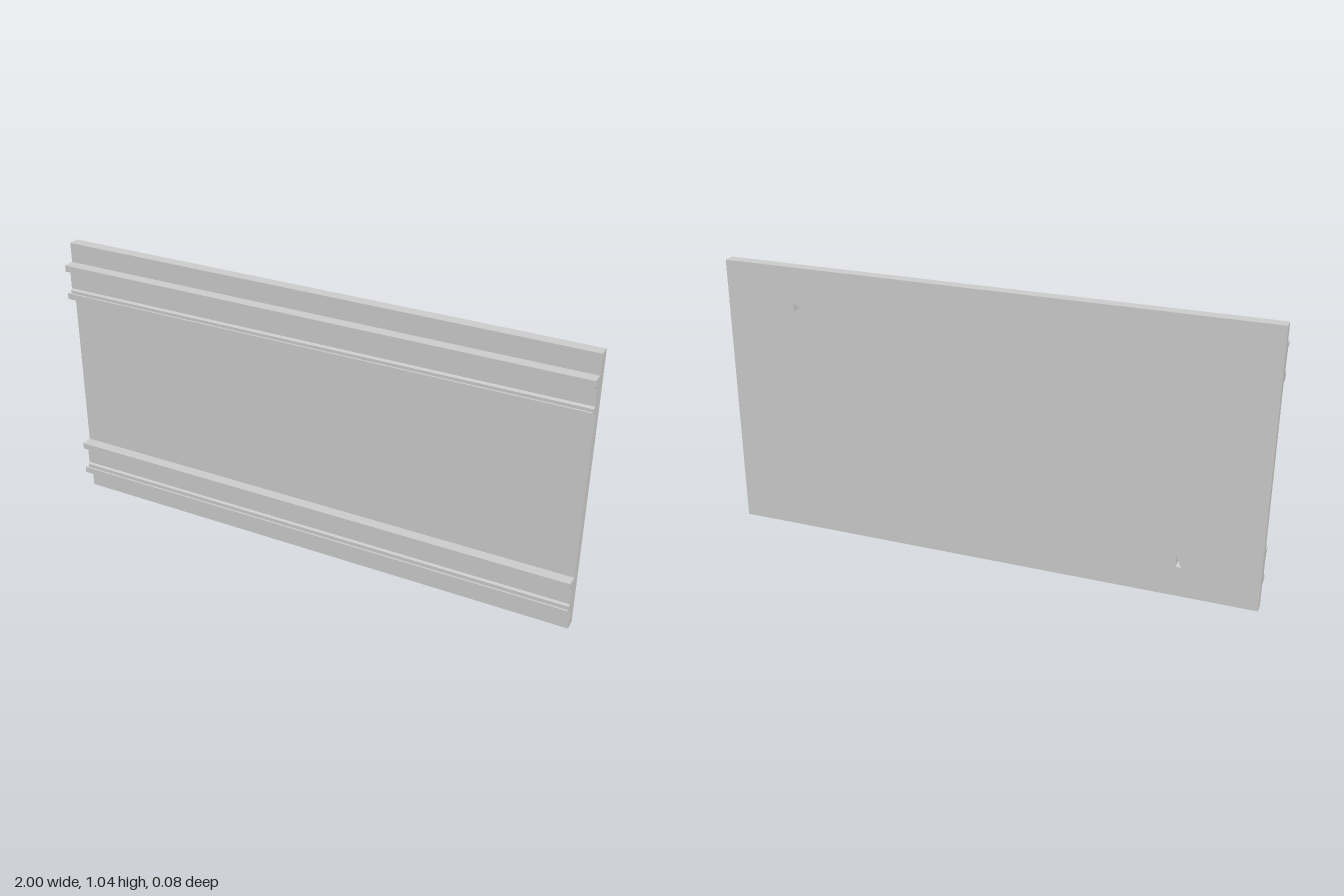
import * as THREE from 'three';

const material = new THREE.MeshStandardMaterial({ color: 0xcccccc, flatShading: true });

// Shape or hole outline from [x, y] pairs
const outline = (points, Type = THREE.Shape) =>
  new Type(points.map(([x, y]) => new THREE.Vector2(x, y)));

function makeMesh(name, geometry) {
  const mesh = new THREE.Mesh(geometry, material);
  mesh.name = name;
  return mesh;
}

export function createModel() {
  const group = new THREE.Group();
  group.name = 'railPanel';

  // Flat panel with two small triangular openings that the rails close at the front
  const panel = outline([[-1, 0], [1, 0], [1, 1.04], [-1, 1.04]]);
  panel.holes.push(
    outline([[0.735, 0.907], [0.735, 0.875], [0.71, 0.892]], THREE.Path),
    outline([[-0.705, 0.16], [-0.705, 0.118], [-0.725, 0.114]], THREE.Path)
  );
  const panelGeometry = new THREE.ExtrudeGeometry(panel, { depth: 0.042, bevelEnabled: false });
  panelGeometry.translate(0, 0, -0.042);
  group.add(makeMesh('panel', panelGeometry));

  // Rail section as [depth, height] above the rail's bottom: hooked lips around a thin web
  const section = outline([
    [0, 0], [0.042, 0], [0.042, 0.023], [0.035, 0.023], [0.035, 0.009],
    [0.022, 0.009], [0.022, 0.027], [0.016, 0.034], [0.016, 0.097],
    [0.022, 0.102], [0.022, 0.124], [0.035, 0.124], [0.035, 0.109],
    [0.042, 0.109], [0.042, 0.133], [0, 0.133]
  ]);
  const railGeometry = new THREE.ExtrudeGeometry(section, { depth: 2, bevelEnabled: false });
  railGeometry.rotateY(-Math.PI / 2); // section depth to +z, length along x
  railGeometry.translate(1, 0, 0);

  for (const [name, y] of [['lowerRail', 0.08], ['upperRail', 0.833]]) {
    const rail = makeMesh(name, railGeometry);
    rail.position.y = y;
    group.add(rail);
  }
  return group;
}
